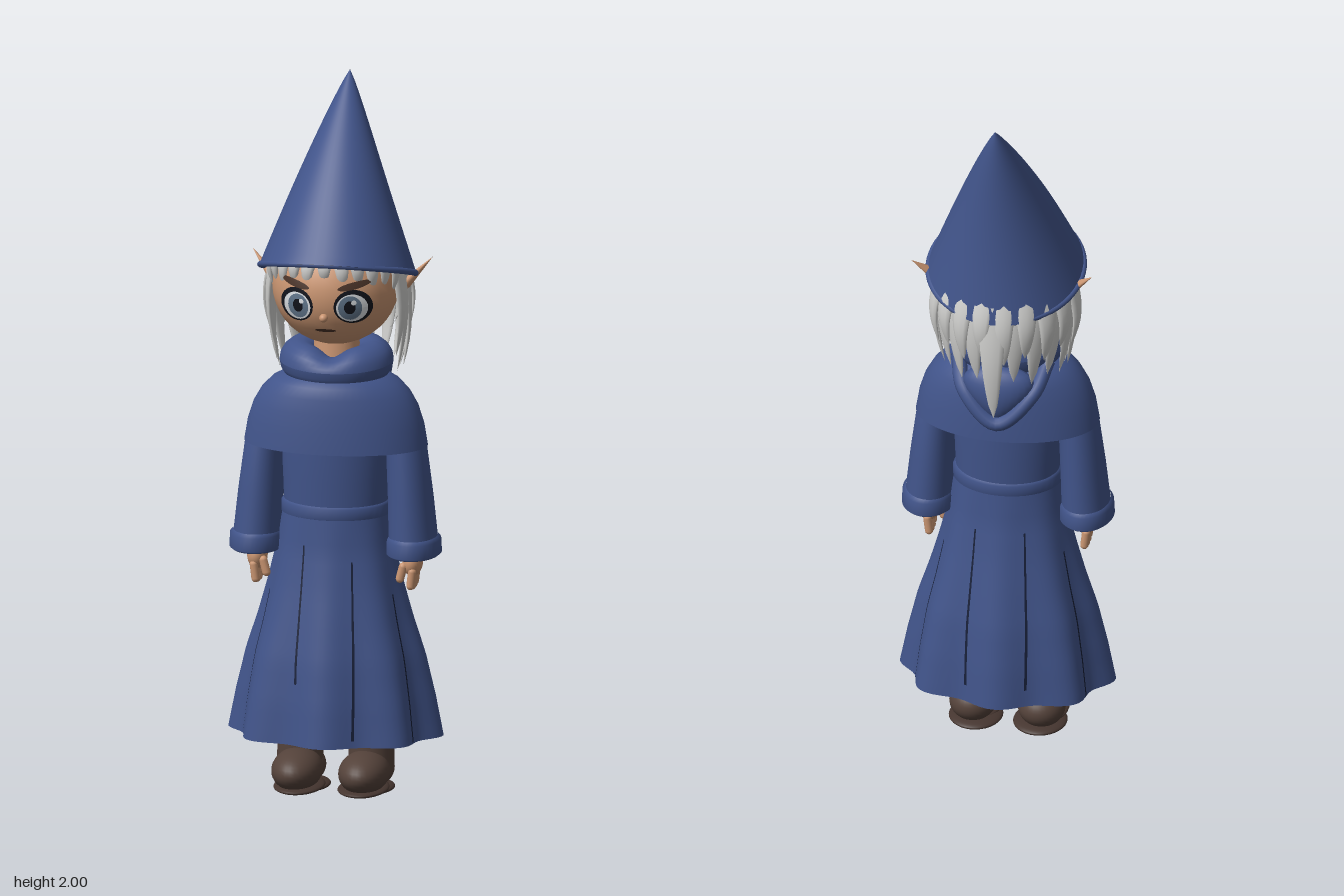
import * as THREE from 'three';

const mat = (name, color, side = THREE.FrontSide) => {
  const m = new THREE.MeshStandardMaterial({ color, side });
  m.name = name;
  return m;
};
const blue = mat('robe blue', 0x41548a);
const lining = mat('dark lining', 0x171f38, THREE.DoubleSide);
const skin = mat('skin', 0xcb9672);
const hairMat = mat('silver hair', 0xd0d0ce);
const leather = mat('boot leather', 0x54423a);
const soleMat = mat('boot sole', 0x463630);
const browMat = mat('brow brown', 0x4a3328);
const white = mat('eye white', 0xe4e8ec);
const black = mat('eye black', 0x12141c);
const iris = mat('iris grey', 0x64798f);

const { sin, cos, PI, sqrt, pow } = Math;

// Surface through closed rings listed from bottom to top; point(angle, row) gives a Vector3
function loft(rows, sides, point) {
  const pos = [], idx = [];
  for (let j = 0; j < rows; j++) {
    for (let i = 0; i < sides; i++) pos.push(...point((i / sides) * 2 * PI, j).toArray());
  }
  for (let j = 0; j < rows - 1; j++) {
    for (let i = 0; i < sides; i++) {
      const a = j * sides + i, b = j * sides + ((i + 1) % sides);
      idx.push(a, b, b + sides, a, b + sides, a + sides);
    }
  }
  const g = new THREE.BufferGeometry();
  g.setAttribute('position', new THREE.Float32BufferAttribute(pos, 3));
  g.setIndex(idx);
  g.computeVertexNormals();
  return g;
}

// Rings given as [y, rx, rz, cx, cz]
const rings = (rows, sides = 40) => loft(rows.length, sides, (a, j) => {
  const [y, rx, rz, cx = 0, cz = 0.01] = rows[j];
  return new THREE.Vector3(cx + rx * sin(a), y, cz + rz * cos(a));
});

function add(parent, name, geometry, material, x = 0, y = 0, z = 0) {
  const m = new THREE.Mesh(geometry, material);
  m.name = name;
  m.position.set(x, y, z);
  parent.add(m);
  return m;
}

function ball(parent, name, material, x, y, z, rx, ry, rz) {
  const m = add(parent, name, new THREE.SphereGeometry(1, 32, 20), material, x, y, z);
  m.scale.set(rx, ry, rz);
  return m;
}

// Cloth shell: blue outside, dark inside
function cloth(parent, name, geometry) {
  add(parent, name, geometry, blue);
  const inner = geometry.clone();
  const ix = inner.index.array;
  for (let i = 0; i < ix.length; i += 3) [ix[i], ix[i + 1]] = [ix[i + 1], ix[i]];
  const p = inner.attributes.position, n = geometry.attributes.normal;
  for (let i = 0; i < p.count; i++) {
    p.setXYZ(i, p.getX(i) - n.getX(i) * 0.002, p.getY(i) - n.getY(i) * 0.002, p.getZ(i) - n.getZ(i) * 0.002);
  }
  inner.computeVertexNormals();
  add(parent, name + 'Lining', inner, lining);
}

// Skirt surface, with eight soft folds growing towards the hem
const SKIRT = [[0.17, 0.285, 0.213], [0.28, 0.267, 0.203], [0.4, 0.242, 0.187], [0.5, 0.212, 0.167],
  [0.6, 0.186, 0.146], [0.7, 0.164, 0.128], [0.81, 0.146, 0.118]];
function skirtPoint(a, y, out = 0) {
  let k = 0;
  while (k < SKIRT.length - 2 && y > SKIRT[k + 1][0]) k++;
  const [y0, x0, z0] = SKIRT[k], [y1, x1, z1] = SKIRT[k + 1];
  const t = (y - y0) / (y1 - y0), f = 1 + 0.06 * ((0.81 - y) / 0.64) * cos(8 * a);
  return new THREE.Vector3(((x0 + (x1 - x0) * t) * f + out) * sin(a), y, 0.012 + ((z0 + (z1 - z0) * t) * f + out) * cos(a));
}

// Thin dark crease running down the skirt
function crease(parent, valley, drift, yTop, yEnd) {
  const n = 12, g = new THREE.PlaneGeometry(1, 1, 1, n), p = g.attributes.position;
  for (let i = 0; i < p.count; i++) {
    const t = 0.5 - p.getY(i), y = yTop + (yEnd - yTop) * t;
    const q = skirtPoint(valley + drift * t + p.getX(i) * 0.03, y, 0.003);
    p.setXYZ(i, q.x, q.y, q.z);
  }
  g.computeVertexNormals();
  add(parent, 'skirtCrease', g, lining);
}

// Tapered lock of hair hanging from (r0, y0) to a tip at (r1, y1), around the head axis
function lock(parent, a, r0, y0, r1, y1, width, sway = 0) {
  const rows = 9;
  const g = loft(rows, 10, (u, j) => {
    const t = j / (rows - 1), w = width * pow(t, 0.6) + 0.0005;
    const b = a + sway * (1 - t), r = r1 + (r0 - r1) * t + 0.02 * sin(PI * t) + 0.014 * pow(t, 0.6) * cos(u);
    const s = w * sin(u);
    return new THREE.Vector3(r * sin(b) + s * cos(b), y1 + (y0 - y1) * t, -0.015 + r * cos(b) - s * sin(b));
  });
  add(parent, 'hairLock', g, hairMat);
}

// Oval laid over the face
const HEAD = { y: 1.44, z: 0.015, rx: 0.175, ry: 0.165, rz: 0.175 };
function facePatch(parent, name, material, x, y, rx, ry, lift, turn = 0) {
  const g = new THREE.RingGeometry(0.001, 1, 28, 5).scale(rx, ry, 1).rotateZ(turn).translate(x, y, 0);
  const p = g.attributes.position;
  for (let i = 0; i < p.count; i++) {
    const u = p.getX(i) / HEAD.rx, v = (p.getY(i) - HEAD.y) / HEAD.ry;
    p.setZ(i, HEAD.z + HEAD.rz * sqrt(Math.max(0, 1 - u * u - v * v)) + lift);
  }
  g.computeVertexNormals();
  add(parent, name, g, material);
}

function buildHead(root) {
  const head = new THREE.Group();
  head.name = 'head';
  root.add(head);
  ball(head, 'skull', skin, 0, HEAD.y, HEAD.z, HEAD.rx, HEAD.ry, HEAD.rz);
  add(head, 'neck', new THREE.CylinderGeometry(0.06, 0.07, 0.16, 24), skin, 0, 1.24, 0);
  ball(head, 'nose', skin, 0, 1.385, 0.185, 0.012, 0.012, 0.014);
  facePatch(head, 'mouth', browMat, 0, 1.343, 0.03, 0.005, 0.003);
  for (const s of [1, -1]) {
    facePatch(head, 'eyeOutline', black, s * 0.079, 1.417, 0.05, 0.049, 0.004);
    facePatch(head, 'eyeWhite', white, s * 0.077, 1.414, 0.041, 0.04, 0.006);
    facePatch(head, 'iris', iris, s * 0.073, 1.415, 0.031, 0.035, 0.008);
    facePatch(head, 'pupil', black, s * 0.073, 1.417, 0.015, 0.019, 0.01);
    facePatch(head, 'eyeGlint', white, s * 0.073 + 0.011, 1.431, 0.007, 0.007, 0.012);
    facePatch(head, 'brow', browMat, s * 0.083, 1.477, 0.044, 0.01, 0.006, s * 0.2);
    // Pointed ear
    const base = new THREE.Vector3(s * 0.165, 1.415, -0.025), tip = new THREE.Vector3(s * 0.253, 1.505, -0.082);
    const dir = tip.clone().sub(base), mid = base.clone().addScaledVector(dir, 0.5);
    const ear = add(head, 'ear', new THREE.ConeGeometry(0.032, dir.length(), 20).scale(0.6, 1, 1), skin, mid.x, mid.y, mid.z);
    ear.quaternion.setFromUnitVectors(new THREE.Vector3(0, 1, 0), dir.normalize());
  }
}

function buildHair(root) {
  const hair = new THREE.Group();
  hair.name = 'hair';
  root.add(hair);
  // Shell over the back of the head
  const shell = add(hair, 'hairBack', new THREE.SphereGeometry(1, 32, 20, PI * 0.98, PI * 1.04), hairMat, 0, 1.42, -0.01);
  shell.scale.set(0.184, 0.175, 0.19);
  // Fringe
  for (let i = -5; i <= 5; i++) {
    lock(hair, i * 0.23, 0.165, 1.57, 0.178, 1.475 - 0.012 * (i & 1) - 0.006 * Math.abs(i), 0.028, 0.05 * Math.sign(i));
  }
  // Long locks beside the face
  for (const s of [1, -1]) {
    lock(hair, s * 1.32, 0.17, 1.54, 0.17, 1.24, 0.032, s * 0.1);
    lock(hair, s * 1.5, 0.17, 1.52, 0.165, 1.19, 0.036, s * 0.12);
    lock(hair, s * 1.75, 0.17, 1.5, 0.18, 1.2, 0.036);
  }
  // Two layers behind, and the long middle lock
  for (let i = -4; i <= 4; i++) {
    lock(hair, PI + i * 0.3, 0.18, 1.5, 0.172, 1.19 + 0.015 * (i & 1), 0.042);
    lock(hair, PI + i * 0.3 + 0.15, 0.19, 1.48, 0.195, 1.27 + 0.02 * (i & 1), 0.036);
  }
  lock(hair, PI, 0.195, 1.46, 0.192, 1.1, 0.045);
}

function buildHat(root) {
  const hat = new THREE.Group();
  hat.name = 'hat';
  root.add(hat);
  const rows = 22;
  cloth(hat, 'hatCone', loft(rows, 56, (a, j) => {
    const t = j / (rows - 1), r = 0.216 * pow(1 - t, 0.9) + 0.0005;
    return new THREE.Vector3(r * sin(a), 1.475 + 0.524 * t + 0.3 * r * cos(a), -0.015 - 0.167 * t + 0.02 * sin(PI * t) + r * cos(a));
  }));
  const rim = add(hat, 'hatRim', new THREE.TorusGeometry(0.214, 0.009, 10, 64).rotateX(PI / 2), blue, 0, 1.475, -0.016);
  rim.rotation.x = -0.29;
}

function buildRobe(root) {
  const robe = new THREE.Group();
  robe.name = 'robe';
  root.add(robe);
  add(robe, 'torso', rings([[0.79, 0.143, 0.116], [0.9, 0.147, 0.12], [1.0, 0.152, 0.123], [1.12, 0.15, 0.12]]), blue);
  add(robe, 'belt', rings([[0.792, 0.144, 0.116], [0.796, 0.152, 0.124], [0.826, 0.152, 0.124], [0.832, 0.144, 0.116]]), blue);
  cloth(robe, 'skirt', loft(24, 96, (a, j) => skirtPoint(a, 0.17 + (0.64 * j) / 23)));
  for (const s of [1, -1]) {
    crease(robe, s * 0.42, s * -0.1, s > 0 ? 0.68 : 0.72, s > 0 ? 0.19 : 0.34);
    crease(robe, s * 1.13, s * -0.12, 0.58, 0.175);
    crease(robe, PI - s * 0.42, s * 0.1, 0.68, 0.22);
    crease(robe, PI - s * 1.13, s * 0.12, 0.6, 0.175);
  }
  // Shoulder cape and cowl
  cloth(robe, 'cape', rings([[0.99, 0.256, 0.16], [1.05, 0.246, 0.155], [1.1, 0.23, 0.148], [1.14, 0.207, 0.142],
    [1.17, 0.178, 0.133], [1.19, 0.14, 0.118], [1.2, 0.09, 0.08]], 56));
  const cowl = new THREE.TorusGeometry(0.1, 0.055, 18, 56).rotateX(PI / 2).scale(1.02, 1, 0.88);
  const p = cowl.attributes.position;
  for (let i = 0; i < p.count; i++) {
    const x = p.getX(i), y = p.getY(i), z = p.getZ(i), front = Math.max(0, z / Math.hypot(x, z));
    p.setY(i, y - 0.08 * z - (y > 0 ? 0.5 * y * pow(front, 8) : 0));
  }
  cowl.computeVertexNormals();
  add(robe, 'cowl', cowl, blue, 0, 1.225, 0.003);
  // Hood lying on the back, narrowing to a point
  const pouch = new THREE.SphereGeometry(1, 28, 18), q = pouch.attributes.position;
  for (let i = 0; i < q.count; i++) q.setX(i, q.getX(i) * (0.62 + 0.38 * q.getY(i)));
  pouch.scale(0.14, 0.085, 0.05).computeVertexNormals();
  add(robe, 'hood', pouch, blue, 0, 1.135, -0.128);
  const edge = [[-0.125, 1.21, -0.06], [-0.095, 1.14, -0.135], [0, 1.055, -0.162], [0.095, 1.14, -0.135], [0.125, 1.21, -0.06]];
  const path = new THREE.CatmullRomCurve3(edge.map((e) => new THREE.Vector3(...e)));
  add(robe, 'hoodEdge', new THREE.TubeGeometry(path, 36, 0.021, 12), blue);
}

function buildLimbs(root, s) {
  const arm = new THREE.Group(), leg = new THREE.Group();
  arm.name = s > 0 ? 'leftArm' : 'rightArm';
  leg.name = s > 0 ? 'leftLeg' : 'rightLeg';
  root.add(arm, leg);
  add(arm, 'sleeve', rings([[0.73, 0.067, 0.09, s * 0.218, 0.016], [0.85, 0.062, 0.084, s * 0.21, 0.014],
    [1.0, 0.055, 0.078, s * 0.197, 0.012], [1.1, 0.045, 0.06, s * 0.165, 0.01]]), blue);
  add(arm, 'cuff', rings([[0.7, 0.062, 0.088, s * 0.22, 0.017], [0.684, 0.069, 0.095, s * 0.22, 0.017], [0.69, 0.076, 0.102, s * 0.22, 0.017],
    [0.728, 0.074, 0.1, s * 0.22, 0.017], [0.738, 0.066, 0.09, s * 0.219, 0.017]]), blue);
  add(arm, 'cuffOpening', new THREE.CircleGeometry(1, 32).scale(0.066, 0.092, 1).rotateX(PI / 2), lining, s * 0.22, 0.7, 0.017);
  // Hand
  ball(arm, 'palm', skin, s * 0.218, 0.663, 0.025, 0.028, 0.04, 0.04);
  for (let i = 0; i < 4; i++) {
    const f = add(arm, 'finger', new THREE.CapsuleGeometry(0.0115, 0.04, 4, 10), skin, s * 0.22, 0.615 + 0.004 * Math.abs(i - 1.5), -0.008 + i * 0.021);
    f.rotation.z = s * -0.12;
  }
  const thumb = add(arm, 'thumb', new THREE.CapsuleGeometry(0.012, 0.035, 4, 10), skin, s * 0.192, 0.637, 0.052);
  thumb.rotation.z = s * -0.25;
  // Boot
  add(leg, 'bootShaft', new THREE.CylinderGeometry(0.06, 0.064, 0.36, 28), leather, s * 0.1, 0.25, 0.013);
  ball(leg, 'bootFoot', leather, s * 0.094, 0.073, 0.085, 0.07, 0.058, 0.108);
  ball(leg, 'bootHeel', leather, s * 0.096, 0.068, 0.005, 0.066, 0.056, 0.07);
  ball(leg, 'bootSole', soleMat, s * 0.09, 0.026, 0.075, 0.07, 0.014, 0.108);
  ball(leg, 'heelSole', soleMat, s * 0.09, 0.016, 0.015, 0.075, 0.016, 0.085);
}

export function createModel() {
  const root = new THREE.Group();
  root.name = 'robedFigure';
  buildHead(root);
  buildHair(root);
  buildHat(root);
  buildRobe(root);
  for (const s of [1, -1]) buildLimbs(root, s);
  return root;
}
